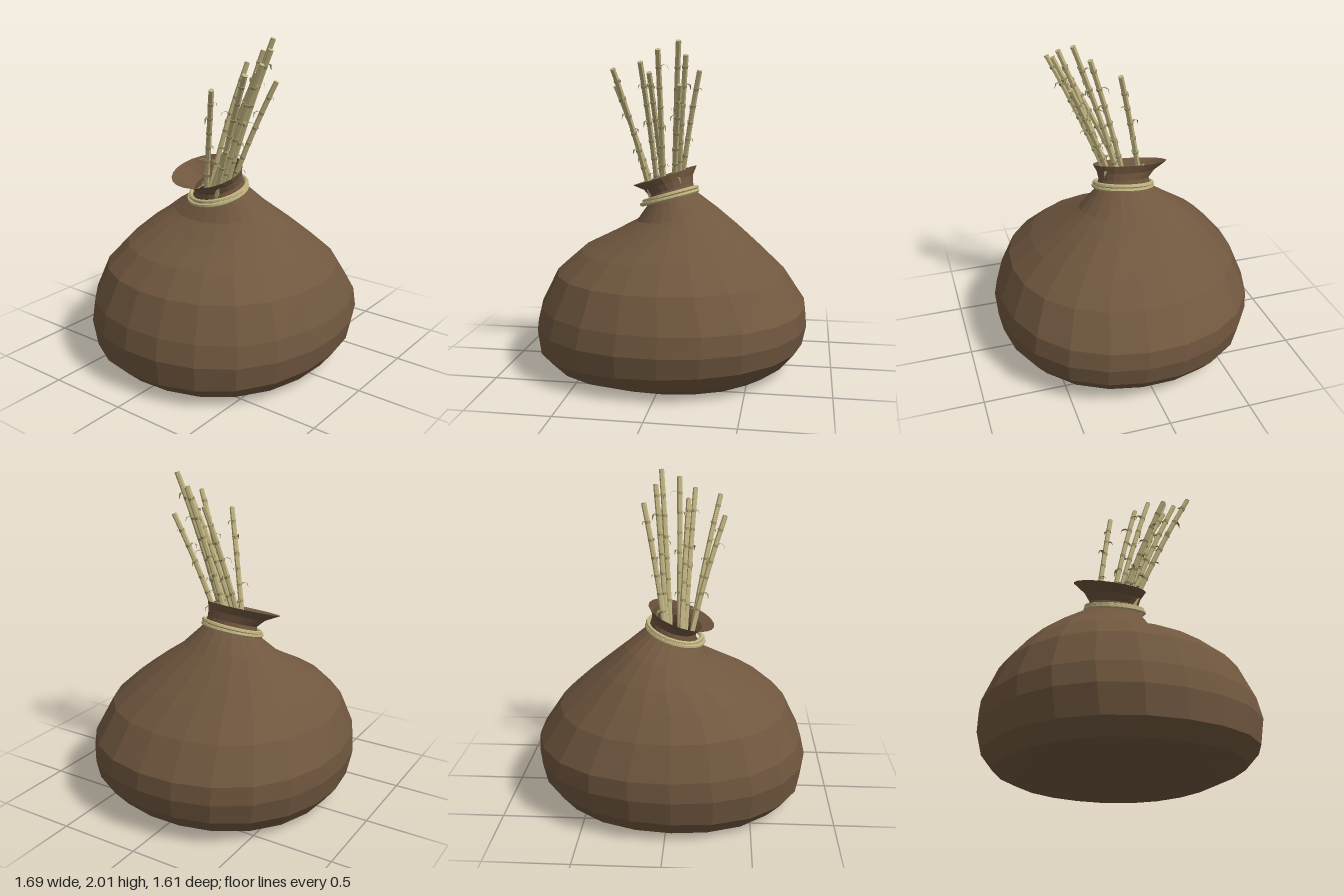
import * as THREE from 'three';

const sackMat = new THREE.MeshStandardMaterial({ color: 0x70573f, flatShading: true, side: THREE.DoubleSide });
const stalkMat = new THREE.MeshStandardMaterial({ color: 0xbfb27f, flatShading: true });
const jointMat = new THREE.MeshStandardMaterial({ color: 0xa2966a, flatShading: true });
const leafMat = new THREE.MeshStandardMaterial({ color: 0x9a9164, flatShading: true, side: THREE.DoubleSide });
const UP = new THREE.Vector3(0, 1, 0);

function add(parent, name, geometry, material) {
  const mesh = new THREE.Mesh(geometry, material);
  mesh.name = name;
  parent.add(mesh);
  return mesh;
}

// Point on a tilted oval ring: [y, left, right, back, front, slopeX, slopeZ]
function ringPoint([y, xl, xr, zb, zf, sx = 0, sz = 0], a) {
  const full = y < 0.9 ? 1 + 0.03 * Math.sin(2 * a) ** 2 : 1;
  const dx = (xr - xl) / 2 * Math.cos(a) * full;
  const dz = (zf - zb) / 2 * Math.sin(a) * full;
  return new THREE.Vector3((xl + xr) / 2 + dx, y + sx * dx + sz * dz, (zb + zf) / 2 + dz);
}

// Skin the rings, closing the first one with a flat fan
function skin(rings, n) {
  const pos = [], idx = [];
  rings.forEach((r) => {
    for (let i = 0; i < n; i++) pos.push(...ringPoint(r, (i + 0.35) / n * Math.PI * 2).toArray());
  });
  for (let j = 0; j < rings.length - 1; j++) {
    for (let i = 0; i < n; i++) {
      const a = j * n + i, b = j * n + (i + 1) % n;
      idx.push(a, a + n, b, b, a + n, b + n);
    }
  }
  for (let i = 1; i < n - 1; i++) idx.push(0, i, i + 1);
  const g = new THREE.BufferGeometry();
  g.setAttribute('position', new THREE.Float32BufferAttribute(pos, 3));
  g.setIndex(idx);
  g.computeVertexNormals();
  return g;
}

// Thin pointed leaf that springs outward and droops
function leafGeometry(size) {
  const path = [[0, 0, 0.010], [0.028, 0.016, 0.010], [0.05, 0.008, 0.007], [0.058, -0.022, 0.001]];
  const pos = [], idx = [];
  path.forEach(([x, y, w], i) => {
    pos.push(x * size, y * size, -w, x * size, y * size, w);
    if (i) idx.push(2 * i - 2, 2 * i - 1, 2 * i, 2 * i, 2 * i - 1, 2 * i + 1);
  });
  const g = new THREE.BufferGeometry();
  g.setAttribute('position', new THREE.Float32BufferAttribute(pos, 3));
  g.setIndex(idx);
  g.computeVertexNormals();
  return g;
}

// Curved cane with joints and a leaf at each joint
function makeStalk(base, tip, k) {
  const stalk = new THREE.Group();
  stalk.name = 'stalk';
  const a = new THREE.Vector3(...base), b = new THREE.Vector3(...tip);
  const mid = a.clone().lerp(b, 0.5);
  mid.x = a.x + (b.x - a.x) * 0.36;
  mid.z = a.z + (b.z - a.z) * 0.4;
  const curve = new THREE.QuadraticBezierCurve3(a, mid, b);
  add(stalk, 'cane', new THREE.TubeGeometry(curve, 10, 0.016, 6), stalkMat);

  const disc = (t, r, h, name, mat) => {
    const m = add(stalk, name, new THREE.CylinderGeometry(r, r * 0.9, h, 6), mat);
    m.position.copy(curve.getPointAt(t));
    m.quaternion.setFromUnitVectors(UP, curve.getTangentAt(t));
  };
  disc(1, 0.017, 0.008, 'caneTip', stalkMat);

  for (let j = 0; j < 6; j++) {
    const t = 0.32 + j * 0.115 + 0.04 * Math.sin(k * 2.3);
    disc(t, 0.020, 0.016, 'joint', jointMat);
    const leaf = add(stalk, 'leaf', leafGeometry(0.8 + 0.25 * Math.sin(j * 2 + k)), leafMat);
    leaf.position.copy(curve.getPointAt(t));
    leaf.rotation.y = j * 2.4 + k * 1.7;
  }
  return stalk;
}

export function createModel() {
  const model = new THREE.Group();
  model.name = 'sackOfCanes';

  // Slumped sack with a tilted, flared mouth
  add(model, 'sack', skin([
    [0, -0.60, 0.62, -0.60, 0.60],
    [0.045, -0.74, 0.73, -0.70, 0.71, 0.025, 0.015],
    [0.14, -0.83, 0.82, -0.77, 0.785, 0.035, 0.015],
    [0.28, -0.85, 0.845, -0.805, 0.81, 0.01],
    [0.40, -0.82, 0.835, -0.80, 0.79],
    [0.60, -0.72, 0.70, -0.72, 0.70],
    [0.73, -0.57, 0.56, -0.61, 0.56],
    [0.84, -0.37, 0.42, -0.50, 0.41, 0.03],
    [0.94, -0.23, 0.28, -0.37, 0.26, 0.14],
    [1.05, -0.155, 0.135, -0.205, 0.135, 0.3, 0.08],
    [1.10, -0.155, 0.12, -0.195, 0.12, 0.33, 0.08],
    [1.14, -0.19, 0.118, -0.24, 0.125, 0.33, 0.06],
    [1.178, -0.265, 0.135, -0.325, 0.14, 0.33, 0.05],
  ], 22), sackMat);

  // Cord wound twice around the neck
  [[1.047, -0.20, 0.15, -0.22, 0.15, 0.28, 0.09],
    [1.068, -0.185, 0.145, -0.215, 0.145, 0.3, 0.1]].forEach((ring) => {
    const pts = Array.from({ length: 14 }, (_, i) => ringPoint(ring, i / 14 * Math.PI * 2));
    const loop = new THREE.CatmullRomCurve3(pts, true);
    add(model, 'neckCord', new THREE.TubeGeometry(loop, 28, 0.013, 6, true), stalkMat);
  });

  // Bundle of canes leaning out toward the front
  const canes = new THREE.Group();
  canes.name = 'canes';
  [
    [[-0.10, 0.92, -0.08], [-0.32, 1.74, 0.15]],
    [[-0.11, 0.92, -0.01], [-0.29, 1.84, 0.36]],
    [[-0.08, 0.92, -0.02], [-0.13, 1.88, 0.36]],
    [[-0.06, 0.92, -0.10], [-0.09, 1.82, 0.30]],
    [[-0.05, 0.92, 0.00], [-0.03, 1.95, 0.35]],
    [[0.00, 0.92, -0.05], [0.08, 2.00, 0.29]],
    [[0.02, 0.92, -0.07], [0.11, 1.92, 0.20]],
    [[0.00, 0.92, -0.01], [0.09, 1.75, 0.31]],
    [[0.01, 0.92, -0.16], [0.17, 1.83, 0.04]],
  ].forEach(([base, tip], k) => canes.add(makeStalk(base, tip, k)));
  model.add(canes);

  return model;
}
